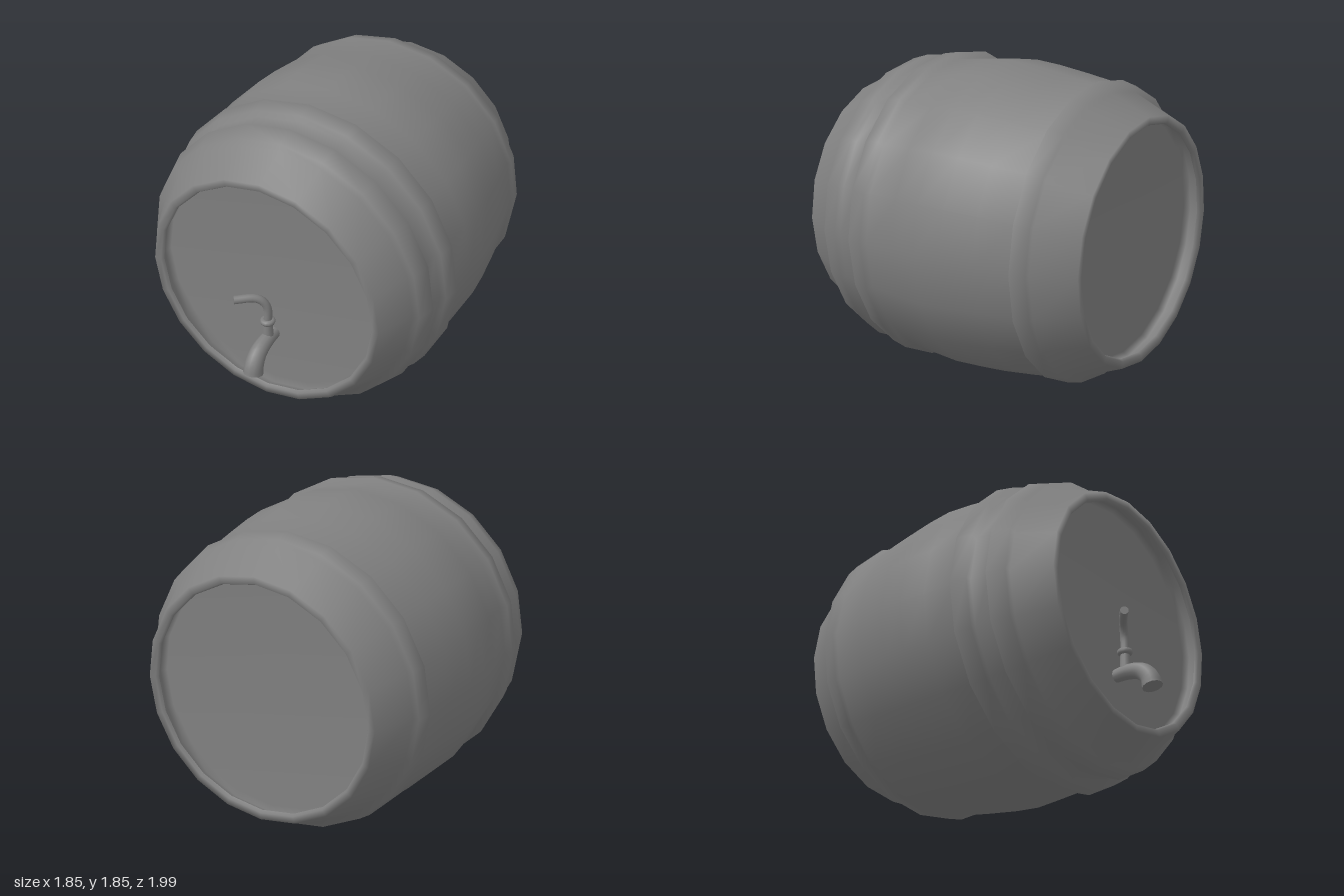
import * as THREE from 'three';
import { mergeGeometries, mergeVertices } from 'three/addons/utils/BufferGeometryUtils.js';

const SIDES = 20;
const AXIS_Y = 0.925;   // height of the barrel's axis
const MID_Z = -0.09;    // fattest point of the barrel
const grey = new THREE.MeshStandardMaterial({ color: 0x808080 });

function addMesh(parent, name, geometry) {
  const mesh = new THREE.Mesh(geometry, grey);
  mesh.name = name;
  parent.add(mesh);
  return mesh;
}

// Turned part along z from a profile of [radius, z]
function turned(profile) {
  return new THREE.LatheGeometry(profile.map(([r, z]) => new THREE.Vector2(r, z)), SIDES)
    .rotateX(Math.PI / 2).translate(0, AXIS_Y, 0);
}

// Smooth normals weighted by face area, so narrow steps blend into the wide faces
function blended(geometry) {
  geometry.deleteAttribute('uv');
  geometry.deleteAttribute('normal');
  const welded = mergeVertices(geometry);
  welded.computeVertexNormals();
  return welded;
}

// Round pipe along a curve, tapering from r0 to r1, closed by a disc at its end
function pipe(points, r0, r1, sides = 12) {
  const curve = new THREE.CatmullRomCurve3(points.map((p) => new THREE.Vector3(...p)));
  const steps = 16;
  const tube = new THREE.TubeGeometry(curve, steps, 1, sides);
  const pos = tube.attributes.position;
  const v = new THREE.Vector3();
  for (let i = 0; i < pos.count; i++) {
    const t = Math.floor(i / (sides + 1)) / steps;
    const c = curve.getPointAt(t);
    v.fromBufferAttribute(pos, i).sub(c).multiplyScalar(r0 + (r1 - r0) * t).add(c);
    pos.setXYZ(i, v.x, v.y, v.z);
  }
  const end = new THREE.CircleGeometry(r1, sides);
  end.applyQuaternion(new THREE.Quaternion().setFromUnitVectors(
    new THREE.Vector3(0, 0, 1), curve.getTangentAt(1)));
  end.translate(...curve.getPointAt(1).toArray());
  return mergeGeometries([tube, end]);
}

export function createModel() {
  const model = new THREE.Group();
  model.name = 'barrel';

  // Front end and its mirror image about the middle of the barrel
  const mirrored = (p) => p.map(([r, z]) => [r, 2 * MID_Z - z]).reverse();
  const rim = [[0.715, 0.82], [0.675, 0.82], [0.665, 0.8]];
  const head = [[0.665, 0.8], [0.705, 0.735], [0.685, 0.7], [0, 0.7]];

  // Bulging staves with the hoops and both rims in one smooth skin
  addMesh(model, 'stavesAndHoops', blended(turned([
    ...mirrored(rim),
    [0.815, -0.765], [0.85, -0.765], [0.872, -0.675], [0.85, -0.665],  // back hoop
    [0.882, -0.45], [0.908, -0.25], [0.92, MID_Z], [0.908, 0.07],
    [0.885, 0.268], [0.925, 0.28], [0.905, 0.38], [0.868, 0.38],       // second hoop
    [0.85, 0.487], [0.885, 0.498], [0.85, 0.605], [0.81, 0.605],       // front hoop
    ...rim,
  ])));

  // Recessed heads, undercut behind the rims
  addMesh(model, 'frontHead', turned(head));
  addMesh(model, 'backHead', turned(mirrored(head)));

  // Tap on the front head
  const tap = new THREE.Group();
  tap.name = 'tap';
  tap.position.x = -0.008;
  model.add(tap);

  addMesh(tap, 'spout', pipe([
    [0, 0.565, 0.68], [0, 0.568, 0.79], [0, 0.545, 0.875], [0, 0.49, 0.925], [0, 0.44, 0.938],
  ], 0.036, 0.058));
  addMesh(tap, 'stem', new THREE.CylinderGeometry(0.026, 0.034, 0.13, 12))
    .position.set(0, 0.62, 0.765);
  const collar = addMesh(tap, 'collar', new THREE.TorusGeometry(0.027, 0.018, 8, 14));
  collar.rotation.x = Math.PI / 2;
  collar.position.set(0, 0.693, 0.765);
  addMesh(tap, 'handle', pipe([
    [0, 0.67, 0.765], [0, 0.79, 0.765], [-0.025, 0.838, 0.78], [-0.06, 0.858, 0.803],
    [-0.15, 0.86, 0.875],
  ], 0.024, 0.024));

  return model;
}
